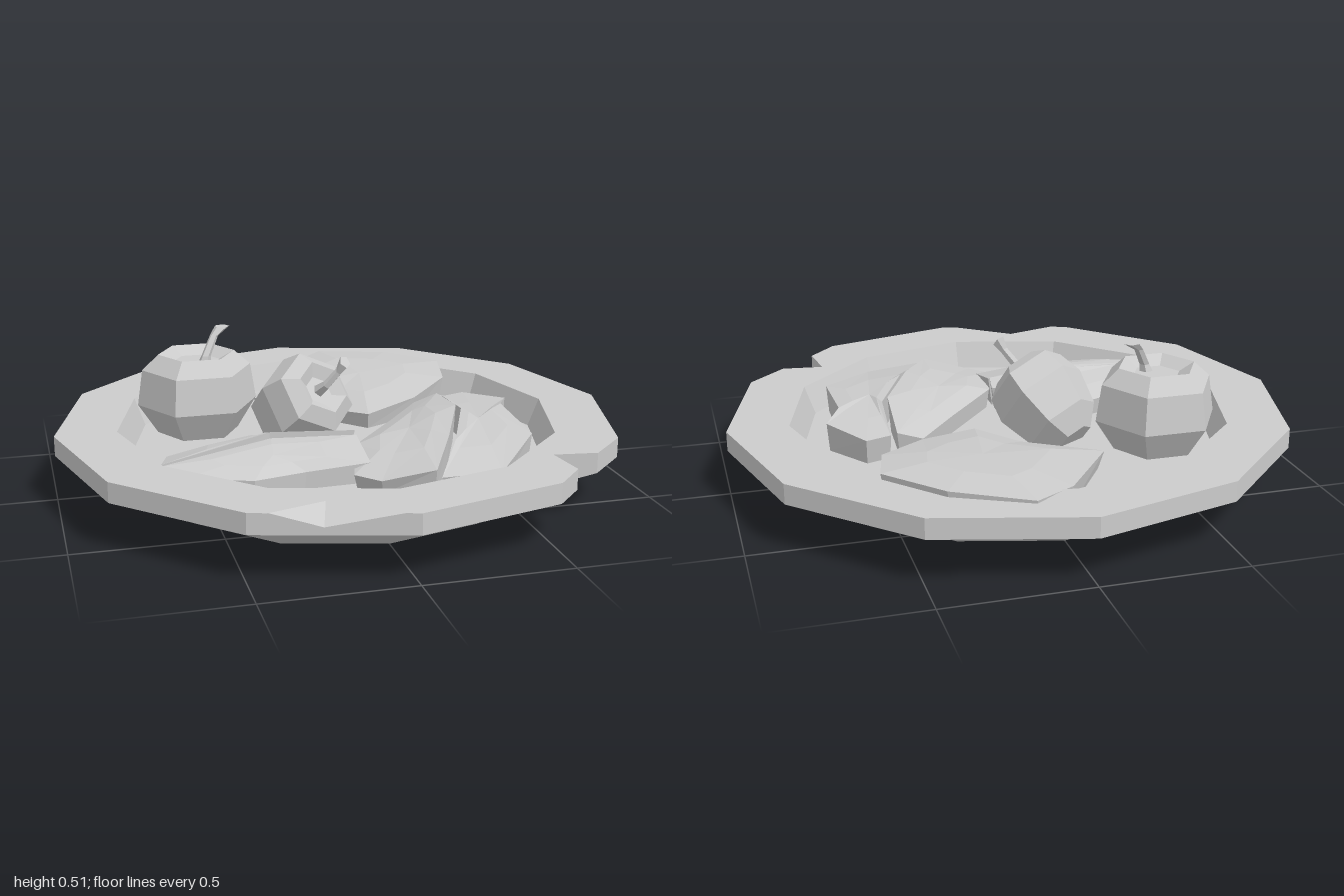
import * as THREE from 'three';

const material = new THREE.MeshStandardMaterial({ color: 0xcccccc, flatShading: true });
const FLOOR = 0.13;
const V = (x, y, z) => new THREE.Vector3(x, y, z);

const centre = (ring) =>
  ring.reduce((sum, p) => sum.add(p), V(0, 0, 0)).divideScalar(ring.length);

// Skins closed rings from bottom to top and caps both ends with fans
function loft(name, rings, topLift = 0) {
  const pos = [];
  const tri = (a, b, c) => {
    const area = b.clone().sub(a).cross(c.clone().sub(a)).length();
    if (area > 1e-7) for (const p of [a, b, c]) pos.push(p.x, p.y, p.z);
  };
  const n = rings[0].length;
  const last = rings[rings.length - 1];
  const bottom = centre(rings[0]);
  const top = centre(last);
  top.y += topLift;
  for (let j = 0; j < n; j++) {
    const k = (j + 1) % n;
    tri(bottom, rings[0][j], rings[0][k]);
    for (let i = 0; i < rings.length - 1; i++) {
      const lo = rings[i], hi = rings[i + 1];
      tri(lo[j], hi[j], lo[k]);
      tri(lo[k], hi[j], hi[k]);
    }
    tri(top, last[k], last[j]);
  }
  const geometry = new THREE.BufferGeometry();
  geometry.setAttribute('position', new THREE.Float32BufferAttribute(pos, 3));
  geometry.computeVertexNormals();
  const mesh = new THREE.Mesh(geometry, material);
  mesh.name = name;
  return mesh;
}

// Twelve-sided plate with one notch cut through the rim and one bevelled chip
function makePlate() {
  const polygon = (a) => {
    const step = Math.PI / 6;
    const local = ((a % step) + step) % step;
    return Math.cos(step / 2) / Math.cos(local - step / 2);
  };
  const stations = [];
  for (let i = 0; i < 12; i++) stations.push({ a: (i * Math.PI) / 6 });
  for (const [x, z] of [[0.73, 0.63], [0.58, 0.61], [0.6, 0.76]])
    stations.push({ a: Math.atan2(z, x), notch: Math.hypot(x, z) });
  for (const [x, z, edgeY] of [[-0.44, 0.885, 0.23], [-0.25, 0.83, 0.185], [-0.05, 0.985, 0.23]])
    stations.push({ a: Math.atan2(z, x), chip: Math.hypot(x, z), edgeY });
  stations.sort((p, q) => p.a - q.a);

  const rings = Array.from({ length: 7 }, () => []);
  for (const { a, notch, chip, edgeY = 0.23 } of stations) {
    const r = polygon(a);
    const outer = notch ?? r;
    const underY = notch ? 0.16 - (r - notch) * 0.3 : 0.16;
    const profile = [
      [0.67 * r, 0], [0.79 * r, 0.09], [outer, underY], [outer, edgeY],
      [chip ?? outer, 0.23], [0.785 * r, 0.23], [0.745 * r, FLOOR],
    ];
    profile.forEach(([d, y], i) => rings[i].push(V(d * Math.cos(a), y, d * Math.sin(a))));
  }
  return loft('plate', rings);
}

// Thick slice: outline of [x, z, edge height] with a slightly domed top
function makeSlice(name, outline, crown) {
  const rim = outline.map(([x, z, y]) => V(x, y, z));
  const mid = centre(rim);
  const inset = (p, s, y) => V(mid.x + (p.x - mid.x) * s, y, mid.z + (p.z - mid.z) * s);
  return loft(name, [
    rim.map((p) => inset(p, 0.95, FLOOR)),
    rim,
    rim.map((p) => inset(p, 0.55, p.y * 0.5 + crown * 0.5)),
  ], 0.005);
}

// Six-sided pepper with a dented crown and a bent stem, built along local y
function makePepper(name, profile, stemPath) {
  const group = new THREE.Group();
  group.name = name;
  const ring = (r, y, n, x = 0, z = 0) =>
    Array.from({ length: n }, (_, i) => {
      const a = (i * 2 * Math.PI) / n;
      return V(x + r * Math.cos(a), y, z + r * Math.sin(a));
    });
  group.add(loft('pepperBody', profile.map(([r, y]) => ring(r, y, 6))));
  group.add(loft('pepperStem', stemPath.map(([r, x, y, z]) => ring(r, y, 5, x, z))));
  return group;
}

export function createModel() {
  const model = new THREE.Group();
  model.name = 'plateOfFood';
  model.add(makePlate());

  // Broad slice at the back
  model.add(makeSlice('backSlice', [
    [-0.22, -0.42, 0.19], [0, -0.75, 0.225], [0.15, -0.86, 0.24], [0.4, -0.74, 0.25],
    [0.57, -0.55, 0.25], [0.53, -0.36, 0.235], [0.36, -0.2, 0.21], [0.15, -0.1, 0.19],
    [0.02, -0.24, 0.18],
  ], 0.265));

  // Slice on the front left of the model, split by a groove
  model.add(makeSlice('rightHandSliceInner', [
    [-0.07, 0.5, 0.18], [0, 0.26, 0.2], [0.2, 0.02, 0.2], [0.35, -0.17, 0.2],
    [0.44, -0.17, 0.23], [0.42, 0.1, 0.265], [0.29, 0.4, 0.255], [0.17, 0.63, 0.22],
    [0, 0.58, 0.18],
  ], 0.255));
  model.add(makeSlice('rightHandSliceOuter', [
    [0.18, 0.65, 0.2], [0.31, 0.41, 0.24], [0.44, 0.1, 0.25], [0.46, -0.16, 0.22],
    [0.55, -0.19, 0.22], [0.66, -0.03, 0.235], [0.6, 0.08, 0.25], [0.6, 0.38, 0.23],
    [0.4, 0.62, 0.19],
  ], 0.25));

  // Small slice on the other side, split by a groove
  model.add(makeSlice('leftHandSliceBack', [
    [-0.68, 0.355, 0.22], [-0.64, 0.19, 0.19], [-0.35, 0.07, 0.19], [0, 0.22, 0.22],
    [0, 0.25, 0.25], [-0.3, 0.26, 0.27],
  ], 0.26));
  model.add(makeSlice('leftHandSliceFront', [
    [-0.68, 0.37, 0.22], [-0.3, 0.28, 0.255], [0, 0.27, 0.24], [0, 0.45, 0.2],
    [-0.22, 0.46, 0.19], [-0.4, 0.5, 0.19], [-0.62, 0.45, 0.2],
  ], 0.25));

  // Upright pepper
  const upright = makePepper('uprightPepper',
    [[0.15, 0], [0.22, 0.11], [0.2, 0.24], [0.14, 0.295], [0.085, 0.265]],
    [[0.028, 0.02, 0.25, 0.04], [0.018, 0.03, 0.29, 0.04], [0.016, 0.065, 0.355, 0.01],
      [0.028, 0.1, 0.385, -0.01]]);
  upright.position.set(-0.46, FLOOR, -0.27);
  model.add(upright);

  // Tipped pepper leaning towards the front
  const tipped = makePepper('tippedPepper',
    [[0.07, -0.2], [0.14, -0.13], [0.175, 0], [0.155, 0.09], [0.1, 0.13], [0.055, 0.1]],
    [[0.025, 0, 0.09, 0], [0.016, 0, 0.15, 0], [0.014, 0.01, 0.21, -0.03],
      [0.024, 0.01, 0.245, -0.05]]);
  tipped.position.set(-0.11, 0.27, -0.05);
  tipped.quaternion.setFromUnitVectors(V(0, 1, 0), V(0.42, 0.6, 0.68).normalize());
  model.add(tipped);

  return model;
}
